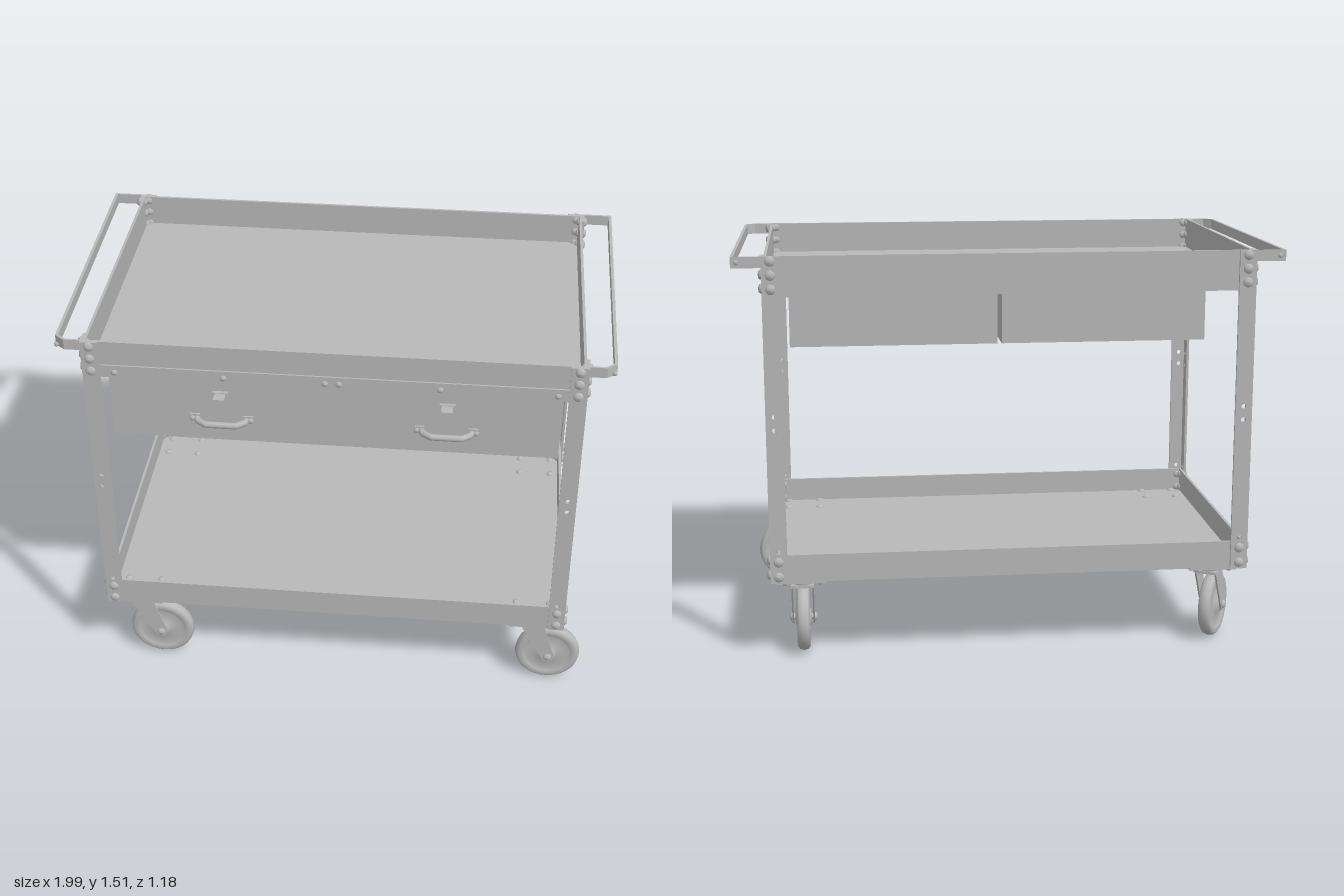
import * as THREE from 'three';

export function createModel() {
  const steel = new THREE.MeshStandardMaterial({ color: 0xb8b8b8, side: THREE.DoubleSide });
  steel.name = 'grey steel';
  const root = new THREE.Group();
  root.name = 'toolCart';

  const XO = 0.89, ZF = 0.54, ZB = -0.58;         // outer faces of the posts
  const T = 0.01;                                 // sheet thickness
  const ZM = (ZF + ZB) / 2;

  const add = (geo, name, parent = root) => {
    const m = new THREE.Mesh(geo, steel);
    m.name = name;
    parent.add(m);
    return m;
  };
  const group = (name, parent = root) => {
    const g = new THREE.Group();
    g.name = name;
    parent.add(g);
    return g;
  };
  const box = (name, parent, x0, x1, y0, y1, z0, z1) => {
    const m = add(new THREE.BoxGeometry(x1 - x0, y1 - y0, z1 - z0), name, parent);
    m.position.set((x0 + x1) / 2, (y0 + y1) / 2, (z0 + z1) / 2);
    return m;
  };
  const boltGeo = new THREE.LatheGeometry(
    [[0.018, 0], [0.018, 0.003], [0.013, 0.01], [0, 0.012]].map(p => new THREE.Vector2(...p)), 16);
  const up = new THREE.Vector3(0, 1, 0);
  const bolt = (parent, pos, dir, s = 1) => {
    const b = add(boltGeo, 'bolt', parent);
    b.position.set(...pos);
    b.quaternion.setFromUnitVectors(up, new THREE.Vector3(...dir));
    b.scale.setScalar(s);
  };

  // Corner posts: two punched flanges meeting at the outer corner
  const W = 0.063, Y0 = 0.31, Y1 = 1.512;
  const flange = new THREE.Shape([[0, Y0], [W, Y0], [W, Y1], [0, Y1]].map(p => new THREE.Vector2(...p)));
  for (const y of [0.43, 0.885, 0.935]) {
    const h = new THREE.Path();
    h.absarc(W / 2, y, 0.009, 0, Math.PI * 2, true);
    flange.holes.push(h);
  }
  const flangeGeo = new THREE.ExtrudeGeometry(flange, { depth: T, bevelEnabled: false, curveSegments: 10 });
  const boltYs = [0.335, 0.392, 1.395, 1.445, 1.495];
  for (const sx of [-1, 1]) for (const sz of [-1, 1]) {
    const post = group('cornerPost');
    const zo = sz > 0 ? ZF : ZB;
    const a = add(flangeGeo, 'postFlangeFrontBack', post);
    a.position.set(sx > 0 ? XO - W : -XO, 0, sz > 0 ? zo - T : zo);
    const b = add(flangeGeo, 'postFlangeSide', post);
    b.rotation.y = -Math.PI / 2;
    b.position.set(sx > 0 ? XO : -XO + T, 0, sz > 0 ? zo - W : zo);
    for (const y of boltYs) {
      bolt(post, [sx * (XO - W / 2), y, zo], [0, 0, sz]);
      bolt(post, [sx * XO, y, zo - sz * W / 2], [sx, 0, 0]);
      // nuts inside the tray
      bolt(post, [sx * (XO - W / 2), y, zo - sz * 2 * T], [0, 0, -sz], 0.8);
      bolt(post, [sx * (XO - 2 * T), y, zo - sz * W / 2], [-sx, 0, 0], 0.8);
    }
  }

  // Sheet metal trays
  const X = XO - T, F = ZF - T, B = ZB + T;
  const tray = (name, y0, y1, floor) => {
    const g = group(name);
    box('trayFloor', g, -X, X, floor - T, floor, B, F);
    box('trayWallFront', g, -X, X, y0, y1, F - T, F);
    box('trayWallBack', g, -X, X, y0, y1, B, B + T);
    for (const s of [-1, 1]) {
      const m = box('trayWallSide', g, X - T, X, y0, y1, B + T, F - T);
      m.position.x *= s;
    }
    return g;
  };
  const bottomTray = tray('bottomTray', 0.312, 0.415, 0.322);
  const topTray = tray('topTray', 1.365, 1.512, 1.395);
  box('trayRail', topTray, -0.83, 0.83, 1.375, 1.418, F, F + 0.006);
  for (const x of [-0.775, -0.385, -0.025, 0.025, 0.38, 0.79]) bolt(topTray, [x, 1.39, F + 0.006], [0, 0, 1], 0.65);

  // Drawers with a lock tab and a bent pull
  for (const cx of [-0.398, 0.408]) {
    const g = group('drawer');
    box('drawerBox', g, cx - 0.395, cx + 0.395, 1.12, 1.355, -0.2, F - 0.015);
    box('drawerFront', g, cx - 0.4, cx + 0.4, 1.122, 1.365, F - 0.015, F);
    box('lockTab', g, cx - 0.028, cx + 0.028, 1.319, 1.331, F, F + 0.012);
    box('lockKey', g, cx - 0.02, cx + 0.02, 1.322, 1.328, F + 0.012, 0.583);
    const path = new THREE.CurvePath();
    const pts = [[-0.09, F], [-0.085, 0.55], [-0.055, 0.573], [0.055, 0.573], [0.085, 0.55], [0.09, F]]
      .map(([x, z]) => new THREE.Vector3(cx + x, 1.213, z));
    for (let i = 1; i < pts.length; i++) path.add(new THREE.LineCurve3(pts[i - 1], pts[i]));
    add(new THREE.TubeGeometry(path, 40, 0.012, 10), 'drawerPull', g);
    for (const s of [-1, 1]) {
      box('pullFoot', g, cx + s * 0.097 - 0.018, cx + s * 0.097 + 0.018, 1.196, 1.23, F, F + 0.007);
      bolt(g, [cx + s * 0.105, 1.213, F + 0.007], [0, 0, 1], 0.6);
    }
  }

  // Push handles: flat straps bent around both ends
  for (const s of [-1, 1]) {
    const g = group(s > 0 ? 'leftHandle' : 'rightHandle');
    const outer = [[XO - 0.01, ZF - 0.012], [0.95, ZF - 0.012], [0.985, ZF - 0.04], [0.996, ZB + 0.05], [0.996, ZB], [XO - 0.01, ZB]];
    const inner = [[XO - 0.01, ZB + 0.008], [0.985, ZB + 0.008], [0.985, ZB + 0.05], [0.974, ZF - 0.045], [0.946, ZF - 0.02], [XO - 0.01, ZF - 0.02]];
    const shape = new THREE.Shape([...outer, ...inner].map(([x, z]) => new THREE.Vector2(s * x, -z)));
    const strap = add(new THREE.ExtrudeGeometry(shape, { depth: 0.04, bevelEnabled: false }), 'handleStrap', g);
    strap.rotation.x = -Math.PI / 2;
    strap.position.y = 1.472;
    for (const z of [ZF - 0.012, ZB]) bolt(g, [s * 0.975, 1.492, z], [0, 0, z > 0 ? 1 : -1], 0.5);
  }

  // Casters: swivel plate, fork and wheel, each turned its own way
  const R = 0.126, AX = 0.068, AY = 0.127;
  const wheelGeo = new THREE.LatheGeometry([
    [0.012, -0.03], [0.03, -0.03], [0.035, -0.017], [0.085, -0.014], [0.092, -0.022], [0.112, -0.024],
    [0.122, -0.016], [R, 0], [0.122, 0.016], [0.112, 0.024], [0.092, 0.022], [0.085, 0.014],
    [0.035, 0.017], [0.03, 0.03], [0.012, 0.03]].map(p => new THREE.Vector2(...p)), 40);
  const legShape = new THREE.Shape();
  legShape.moveTo(-0.045, 0.285);
  legShape.lineTo(0.045, 0.285);
  legShape.quadraticCurveTo(0.06, 0.23, AX + 0.024, AY + 0.01);
  legShape.absarc(AX, AY, 0.024, 0.3, Math.PI + 0.5, true);
  legShape.quadraticCurveTo(0.0, 0.2, -0.045, 0.285);
  const legGeo = new THREE.ExtrudeGeometry(legShape, { depth: 0.006, bevelEnabled: false, curveSegments: 10 });
  const caster = (x, z, turn) => {
    const g = group('caster');
    g.position.set(x, 0, z);
    box('mountPlate', g, -0.09, 0.09, 0.301, 0.312, -0.07, 0.07);
    for (const i of [-1, 1]) for (const j of [-1, 1]) {
      bolt(g, [i * 0.065, 0.322, j * 0.05], [0, 1, 0], 0.8);
      bolt(g, [i * 0.065, 0.301, j * 0.05], [0, -1, 0], 0.7);
    }
    const sw = group('swivel', g);
    sw.rotation.y = turn;
    const bearing = add(new THREE.CylinderGeometry(0.045, 0.04, 0.02, 24), 'swivelBearing', sw);
    bearing.position.y = 0.292;
    box('forkCrown', sw, -0.045, 0.045, 0.276, 0.286, -0.042, 0.042);
    for (const s of [-1, 1]) {
      const leg = add(legGeo, 'forkLeg', sw);
      leg.position.z = s * 0.039 - 0.003;
      bolt(sw, [AX, AY, s * 0.042], [0, 0, s], 0.9);
    }
    const axle = add(new THREE.CylinderGeometry(0.012, 0.012, 0.084, 12), 'axle', sw);
    axle.rotation.x = Math.PI / 2;
    axle.position.set(AX, AY, 0);
    const wheel = add(wheelGeo, 'wheel', sw);
    wheel.rotation.x = Math.PI / 2;
    wheel.position.set(AX, AY, 0);
  };
  caster(-0.765, 0.455, 0);
  caster(0.772, 0.455, 0);
  caster(0.775, -0.493, -Math.PI / 2);
  caster(-0.765, -0.493, -Math.PI * 2 / 3);

  return root;
}
